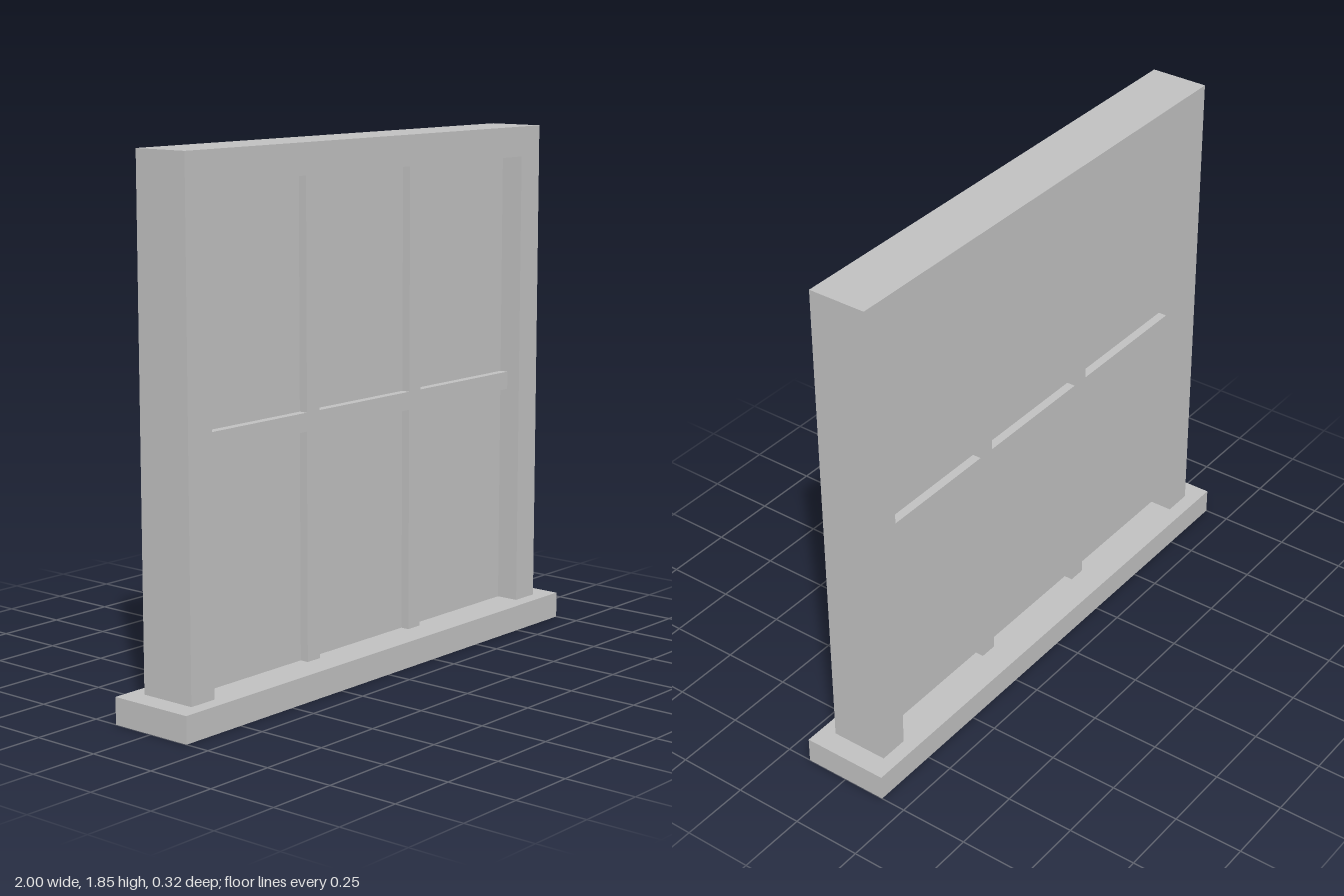
import * as THREE from 'three';

export function createModel() {
  const group = new THREE.Group();
  group.name = 'window';
  const grey = new THREE.MeshStandardMaterial({ color: 0xc0c0c0 });
  grey.name = 'plain grey';

  const sillTop = 0.093, top = 1.847, outer = 0.922, inner = 0.815;
  const headBottom = 1.74, frameDepth = 0.21, barDepth = 0.105, barWidth = 0.064;

  // Box given by its x and y extents, centred on z = 0
  function box(name, x0, x1, y0, y1, depth) {
    const mesh = new THREE.Mesh(new THREE.BoxGeometry(x1 - x0, y1 - y0, depth), grey);
    mesh.position.set((x0 + x1) / 2, (y0 + y1) / 2, 0);
    mesh.name = name;
    group.add(mesh);
  }

  box('sill', -1, 1, 0, sillTop, 0.316);

  // Frame: one outline, open at the bottom where it meets the sill
  const outline = new THREE.Shape([
    [-outer, sillTop], [-inner, sillTop], [-inner, headBottom], [inner, headBottom],
    [inner, sillTop], [outer, sillTop], [outer, top], [-outer, top],
  ].map(([x, y]) => new THREE.Vector2(x, y)));
  const frameGeometry = new THREE.ExtrudeGeometry(outline, { depth: frameDepth, bevelEnabled: false });
  frameGeometry.translate(0, 0, -frameDepth / 2);
  const frame = new THREE.Mesh(frameGeometry, grey);
  frame.name = 'frame';
  group.add(frame);

  // Pane and glazing bars
  box('pane', -inner, inner, sillTop, headBottom, 0.042);
  for (const [name, x] of [['rightUpright', -0.271], ['leftUpright', 0.271]]) {
    box(name, x - barWidth / 2, x + barWidth / 2, sillTop, headBottom, barDepth);
  }
  box('crossBar', -inner, inner, 0.885, 0.885 + barWidth, barDepth);

  return group;
}
